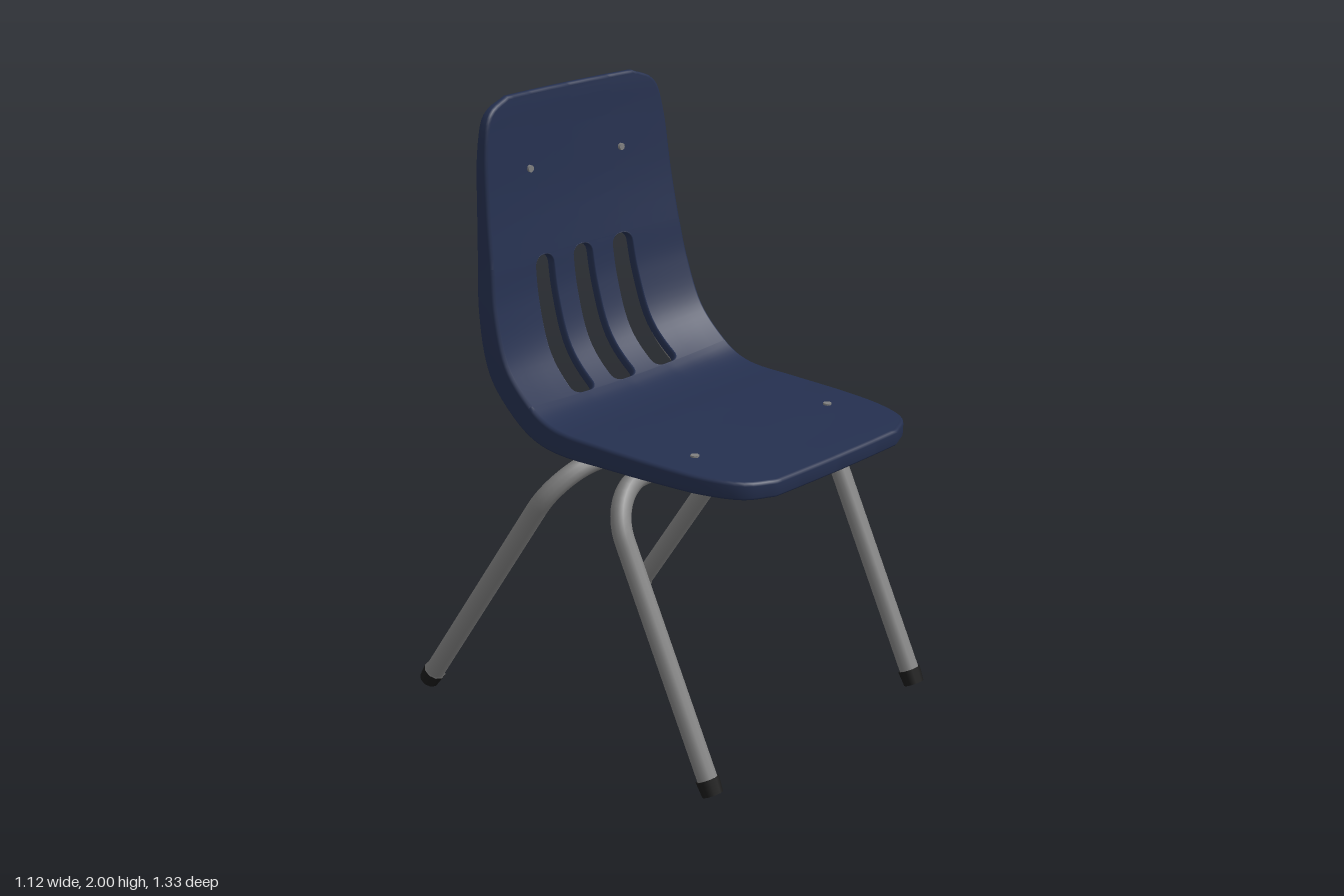
import * as THREE from 'three';

const V = (x, y, z) => new THREE.Vector3(x, y, z);
const material = (name, color, side = THREE.FrontSide) => {
  const m = new THREE.MeshStandardMaterial({ color, side });
  m.name = name;
  return m;
};

// Side edge of the shell from the seat front to the top of the back: half width, y, z, rim depth
const EDGE = [
  [0.30, 0.995, 0.655, 0.055], [0.39, 0.997, 0.61, 0.056], [0.44, 1.0, 0.50, 0.058],
  [0.46, 1.005, 0.35, 0.062], [0.468, 1.012, 0.10, 0.07], [0.468, 1.02, -0.06, 0.078],
  [0.468, 1.04, -0.13, 0.085], [0.468, 1.075, -0.185, 0.09], [0.465, 1.18, -0.285, 0.092],
  [0.453, 1.34, -0.34, 0.08], [0.438, 1.48, -0.362, 0.07], [0.425, 1.65, -0.385, 0.055],
  [0.406, 1.86, -0.402, 0.045], [0.375, 1.95, -0.407, 0.038], [0.29, 1.988, -0.41, 0.03],
];
const LAST = EDGE.length - 1, SLOT_START = 7, SLOT_END = 10;
const SUBDIV = [4, 2, 2, 2, 2, 2, 4];        // columns per strip; odd strips hold the slots
const SLOT_COLS = [4, 8, 12];

// Rows of shell points, bowed backwards across the width
function shellRows() {
  const curve = new THREE.CatmullRomCurve3(EDGE.map(([w, y, z]) => V(w, y, z)));
  const params = [];
  for (let i = 0; i < SLOT_START * 4; i++) params.push(i / 4);
  const first = params.length;
  for (let k = 0; k <= 30; k++) {
    params.push(SLOT_START + (SLOT_END - SLOT_START) * (1 - Math.cos(Math.PI * k / 30)) / 2);
  }
  const last = params.length - 1;
  for (let i = SLOT_END * 5 + 1; i <= LAST * 5; i++) params.push(i / 5);

  const rows = params.map((p) => {
    const e = curve.getPoint(p / LAST), t = curve.getTangent(p / LAST);
    const n = V(0, -t.z, t.y).normalize();
    const i = Math.min(Math.floor(p), LAST - 1);
    const depth = THREE.MathUtils.lerp(EDGE[i][3], EDGE[i + 1][3], p - i);
    const sag = 0.008 + 0.032 * THREE.MathUtils.smoothstep(p, 4, 8.5);
    // slot edges with rounded ends
    const v = THREE.MathUtils.clamp((p - SLOT_START) / (SLOT_END - SLOT_START), 0, 1);
    const r = 0.04, d = Math.min(r, Math.min(v, 1 - v) * 0.48);
    const half = 0.057 - 0.01 * v - r + Math.sqrt(r * r - (r - d) ** 2);
    const cx = 0.2 - 0.015 * v;
    const breaks = [-e.x];
    for (const c of [-cx, 0, cx]) breaks.push(c - half, c + half);
    breaks.push(e.x);
    const xs = [];
    SUBDIV.forEach((m, s) => {
      for (let k = 0; k < m; k++) xs.push(THREE.MathUtils.lerp(breaks[s], breaks[s + 1], k / m));
    });
    xs.push(e.x);
    const points = xs.map((x) => V(x, e.y, e.z).addScaledVector(n, -sag * (1 - (x / 0.47) ** 2)));
    return { points, n, depth };
  });
  return { rows, first, last };
}

function indexed(points, index) {
  const g = new THREE.BufferGeometry().setFromPoints(points);
  g.setIndex(index);
  g.computeVertexNormals();
  return g;
}

// Sheet of quads, leaving the slots open
function sheet({ rows, first, last }) {
  const cols = rows[0].points.length, index = [];
  for (let r = 0; r < rows.length - 1; r++) {
    for (let c = 0; c < cols - 1; c++) {
      const inSlot = r >= first && r < last && SLOT_COLS.some((s) => c === s || c === s + 1);
      if (inSlot) continue;
      const a = r * cols + c, b = a + cols;
      index.push(a, a + 1, b + 1, a, b + 1, b);
    }
  }
  return indexed(rows.flatMap((r) => r.points), index);
}

// Rounded flange folded down along a closed loop of [row, column]
function flange(rows, loop, out, depthOf) {
  const points = [], index = [], N = loop.length, K = 8;
  const at = (i) => rows[loop[(i + N) % N][0]].points[loop[(i + N) % N][1]];
  for (let i = 0; i < N; i++) {
    const row = rows[loop[i][0]], d = depthOf(row);
    const o = at(i + 1).clone().sub(at(i - 1)).cross(row.n).normalize();
    const section = [[0, 0], [out * 0.7, 0.003], [out, 0.011], [out, d - 0.008],
      [out * 0.5, d], [-out * 0.4, d], [-out * 0.7, d - 0.008], [-out * 0.7, 0.005]];
    for (const [a, b] of section) {
      points.push(at(i).clone().addScaledVector(o, a).addScaledVector(row.n, -b));
    }
    for (let k = 0; k < K; k++) {
      const j = (i + 1) % N, k2 = (k + 1) % K;
      index.push(i * K + k, i * K + k2, j * K + k2, i * K + k, j * K + k2, j * K + k);
    }
  }
  return indexed(points, index);
}

// Polyline with rounded corners
function roundedPath(pts, radius) {
  const path = new THREE.CurvePath();
  let from = pts[0];
  for (let i = 1; i < pts.length - 1; i++) {
    const p = pts[i];
    const a = p.clone().add(pts[i - 1].clone().sub(p).setLength(radius));
    const b = p.clone().add(pts[i + 1].clone().sub(p).setLength(radius));
    path.add(new THREE.LineCurve3(from, a));
    path.add(new THREE.CubicBezierCurve3(a, a.clone().lerp(p, 0.55), b.clone().lerp(p, 0.55), b));
    from = b;
  }
  path.add(new THREE.LineCurve3(from, pts[pts.length - 1]));
  return path;
}

export function createModel() {
  const group = new THREE.Group();
  group.name = 'chair';
  const navy = material('navy plastic', 0x25304f, THREE.DoubleSide);
  const steel = material('grey steel', 0x808080);
  const rubber = material('black rubber', 0x1a1a1a);
  const add = (name, geometry, mat, parent = group) => {
    const mesh = new THREE.Mesh(geometry, mat);
    mesh.name = name;
    parent.add(mesh);
    return mesh;
  };

  // One-piece seat and back
  const shell = new THREE.Group();
  shell.name = 'seatShell';
  group.add(shell);
  const data = shellRows(), { rows, first, last } = data;
  add('seatAndBack', sheet(data), navy, shell);

  const R = rows.length - 1, C = rows[0].points.length - 1, rim = [];
  for (let c = 0; c < C; c++) rim.push([0, c]);
  for (let r = 0; r < R; r++) rim.push([r, C]);
  for (let c = C; c > 0; c--) rim.push([R, c]);
  for (let r = R; r > 0; r--) rim.push([r, 0]);
  add('shellRim', flange(rows, rim, 0.012, (row) => row.depth), navy, shell);

  for (const c of SLOT_COLS) {
    const loop = [];
    for (let r = first; r <= last; r++) loop.push([r, c]);
    loop.push([last, c + 1]);
    for (let r = last; r >= first; r--) loop.push([r, c + 2]);
    loop.push([first, c + 1]);
    add('slotRim', flange(rows, loop, 0.005, () => 0.03), navy, shell);
  }

  // Bent leg frames: crossbar y and z, then foot y and z
  const frames = [['frontLegs', 0.905, 0.18, 0.016, 0.607], ['rearLegs', 0.905, -0.02, 0.021, -0.64]];
  for (const [name, y, z, fy, fz] of frames) {
    const pts = [V(-0.525, fy, fz), V(-0.525, y, z), V(0.525, y, z), V(0.525, fy, fz)];
    const dir = V(0, y - fy, z - fz).normalize();
    pts[0].addScaledVector(dir, 0.02);
    pts[3].addScaledVector(dir, 0.02);
    add(name, new THREE.TubeGeometry(roundedPath(pts, 0.17), 120, 0.033, 12), steel);
    for (const side of [-1, 1]) {
      const cap = add('footCap', new THREE.CylinderGeometry(0.038, 0.034, 0.05, 10), rubber);
      cap.position.set(side * 0.525, fy, fz).addScaledVector(dir, 0.025);
      cap.quaternion.setFromUnitVectors(V(0, 1, 0), dir);
    }
  }

  // Support tube looping behind the back and running under the seat
  const half = [[0.17, 1.772, -0.463], [0.26, 1.735, -0.46], [0.3, 1.63, -0.457], [0.31, 1.4, -0.44],
    [0.31, 1.22, -0.4], [0.31, 1.1, -0.335], [0.315, 1.0, -0.21], [0.32, 0.96, -0.08],
    [0.325, 0.957, 0.2], [0.33, 0.952, 0.44]].map((p) => V(...p));
  const mirrored = half.map((p) => V(-p.x, p.y, p.z)).reverse();
  const support = new THREE.CatmullRomCurve3([...mirrored, V(0, 1.776, -0.468), ...half]);
  add('backSupport', new THREE.TubeGeometry(support, 140, 0.022, 10), steel);

  // Rivets and closed tube ends
  for (const side of [-1, 1]) {
    add('seatRivet', new THREE.CylinderGeometry(0.014, 0.014, 0.016, 8), steel).position.set(side * 0.33, 0.998, 0.365);
    const rivet = add('backRivet', new THREE.CylinderGeometry(0.012, 0.012, 0.02, 8), steel);
    rivet.rotation.x = Math.PI / 2;
    rivet.position.set(side * 0.215, 1.755, -0.427);
    add('supportEnd', new THREE.SphereGeometry(0.022, 10, 8), steel).position.set(side * 0.33, 0.952, 0.44);
  }
  return group;
}
